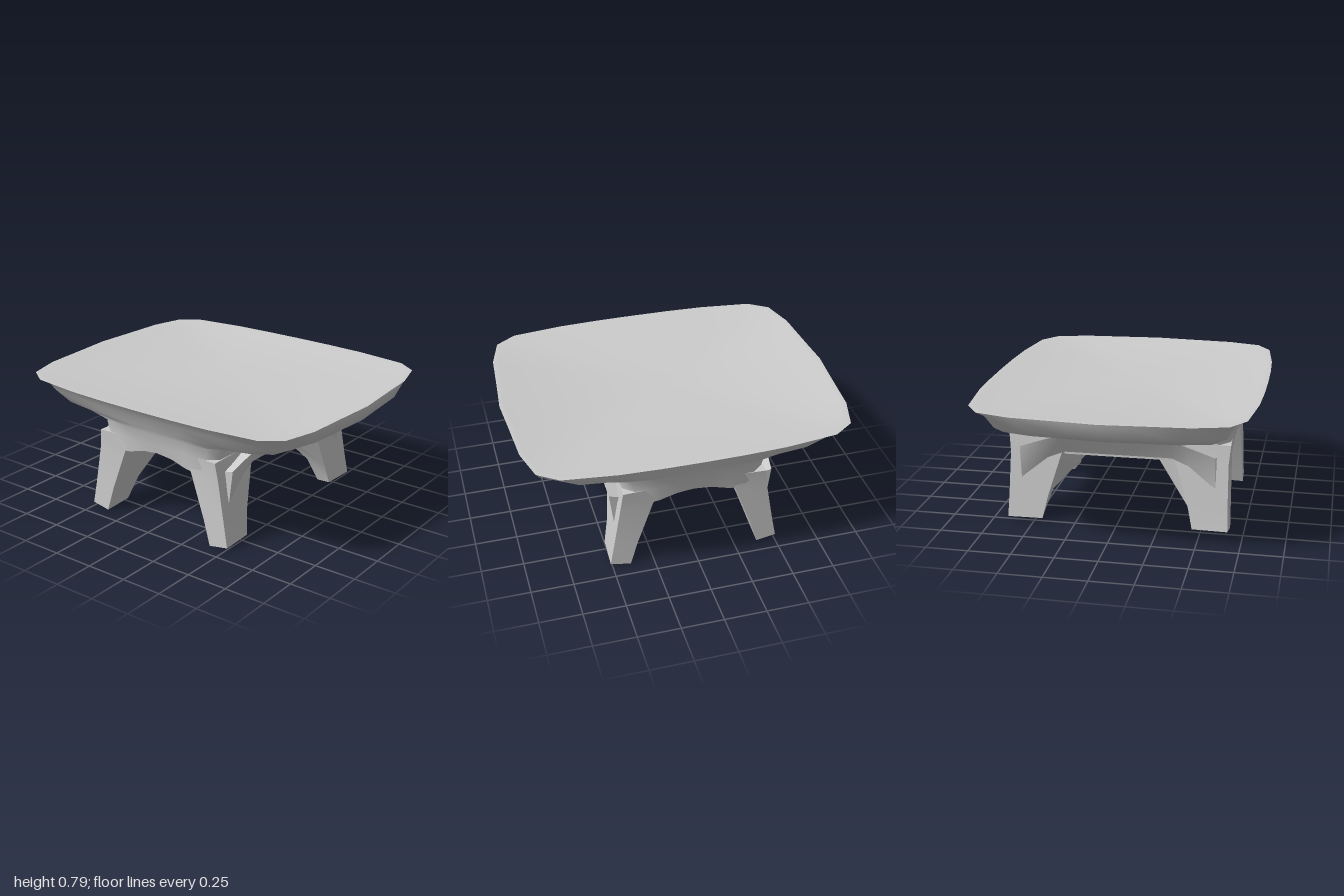
import * as THREE from 'three';
import { toCreasedNormals } from 'three/addons/utils/BufferGeometryUtils.js';

const grey = new THREE.MeshStandardMaterial({ color: 0xcccccc });

// Skin a list of equal-length rings of [x, y, z] points and close both ends.
function loft(name, rings, crease = 0.9) {
  const n = rings[0].length, last = (rings.length - 1) * n, index = [];
  for (let r = 0; r < rings.length - 1; r++) {
    for (let j = 0; j < n; j++) {
      const a = r * n + j, b = r * n + (j + 1) % n;
      index.push(a, b, a + n, b, b + n, a + n);
    }
  }
  for (let j = 1; j < n - 1; j++) {
    index.push(0, j + 1, j, last, last + j, last + j + 1);
  }
  const geometry = new THREE.BufferGeometry();
  geometry.setAttribute('position', new THREE.Float32BufferAttribute(rings.flat(2), 3));
  geometry.setIndex(index);
  const mesh = new THREE.Mesh(toCreasedNormals(geometry, crease), grey);
  mesh.name = name;
  return mesh;
}

// Rounded-rectangle outline, unit sized, running from +x towards +z.
const quarter = [[1, 0], [0.985, 0.24], [0.965, 0.6], [0.91, 0.84], [0.79, 0.94], [0.48, 0.985], [0.24, 0.997]];
const outline = [];
for (let q = 0; q < 4; q++) {
  const sx = q === 0 || q === 3 ? 1 : -1, sz = q < 2 ? 1 : -1;
  const part = quarter.map(([x, z]) => [sx * x, sz * z]);
  if (q % 2 === 0) outline.push(...part, [0, sz]);
  else outline.push(...part.reverse().slice(0, -1));
}
// Drop the repeated start point produced by the closing quarter.
const loop = outline.filter(([x, z], i) => i === 0 ||
  Math.hypot(x - outline[i - 1][0], z - outline[i - 1][1]) > 1e-4);

// Ring of the body; square pulls the outline towards a sharp rectangle.
function ring(width, depth, y, square = 0) {
  return loop.map(([x, z]) => {
    const s = 1 + square * (1 / Math.max(Math.abs(x), Math.abs(z)) - 1);
    const px = x * s * width;
    return [px, typeof y === 'function' ? y(px) : y, z * s * depth];
  });
}

export function createModel() {
  const group = new THREE.Group();
  group.name = 'table';

  // Table top flowing into the narrow arched body beneath it
  const arch = x => 0.48 - 0.06 * Math.min(1, (x / 0.25) ** 2);
  group.add(loft('topAndBody', [
    ring(0.01, 0.01, 0.79),
    ring(0.93, 0.75, 0.79),
    ring(0.97, 0.8, 0.8),
    ring(1.0, 0.83, 0.8),
    ring(0.995, 0.77, 0.78),
    ring(0.97, 0.72, 0.71),
    ring(0.84, 0.695, 0.65, 0.1),
    ring(0.63, 0.685, 0.63, 0.2),
    ring(0.46, 0.675, 0.605, 0.5),
    ring(0.425, 0.66, 0.53, 0.8),
    ring(0.43, 0.65, arch, 0.9),
    ring(0.25, 0.6, arch, 0.9),
    ring(0.12, 0.5, arch, 0.9),
    ring(0.01, 0.4, arch, 0.9),
  ]));

  // Splayed legs: each level lists outer back, outer front, inner front, inner back
  const legLevels = [
    { y: 0.53, p: [[0.42, 0.3], [0.425, 0.66], [0.2, 0.65], [0.22, 0.1]] },
    { y: 0.42, p: [[0.445, 0.34], [0.44, 0.65], [0.25, 0.65], [0.26, 0.18]] },
    { y: 0.16, p: [[0.475, 0.42], [0.485, 0.655], [0.345, 0.66], [0.35, 0.42]] },
    { y: 0.01, p: [[0.5, 0.45], [0.51, 0.66], [0.39, 0.665], [0.4, 0.47]] },
  ];
  for (const sx of [1, -1]) {
    for (const sz of [1, -1]) {
      const rings = legLevels.map(({ y, p }) => {
        // Feet are cut square to the splay, so the outer edge sits higher
        const pts = p.map(([x, z]) => [sx * x, y === 0.01 ? y + (x - 0.39) * 0.15 : y, sz * z]);
        return sx * sz > 0 ? pts : pts.reverse();
      });
      group.add(loft(sz > 0 ? 'frontLeg' : 'backLeg', rings, 0.7));
    }

    // Side rail with a flared upper lip, bending down into the legs
    const middle = [[0.27, 0.41], [0.45, 0.44], [0.51, 0.56], [0.4, 0.53]];
    const bend = [[0.3, 0.41], [0.455, 0.4], [0.505, 0.53], [0.4, 0.5]];
    const end = [[0.41, 0.3], [0.465, 0.27], [0.49, 0.47], [0.41, 0.45]];
    const stations = [[-0.58, end], [-0.42, bend], [-0.32, middle], [0, middle], [0.32, middle], [0.42, bend], [0.58, end]];
    group.add(loft('sideRail', stations.map(([z, p]) => {
      const pts = p.map(([x, y]) => [sx * x, y, z]);
      return sx > 0 ? pts : pts.reverse();
    })));
  }
  return group;
}
